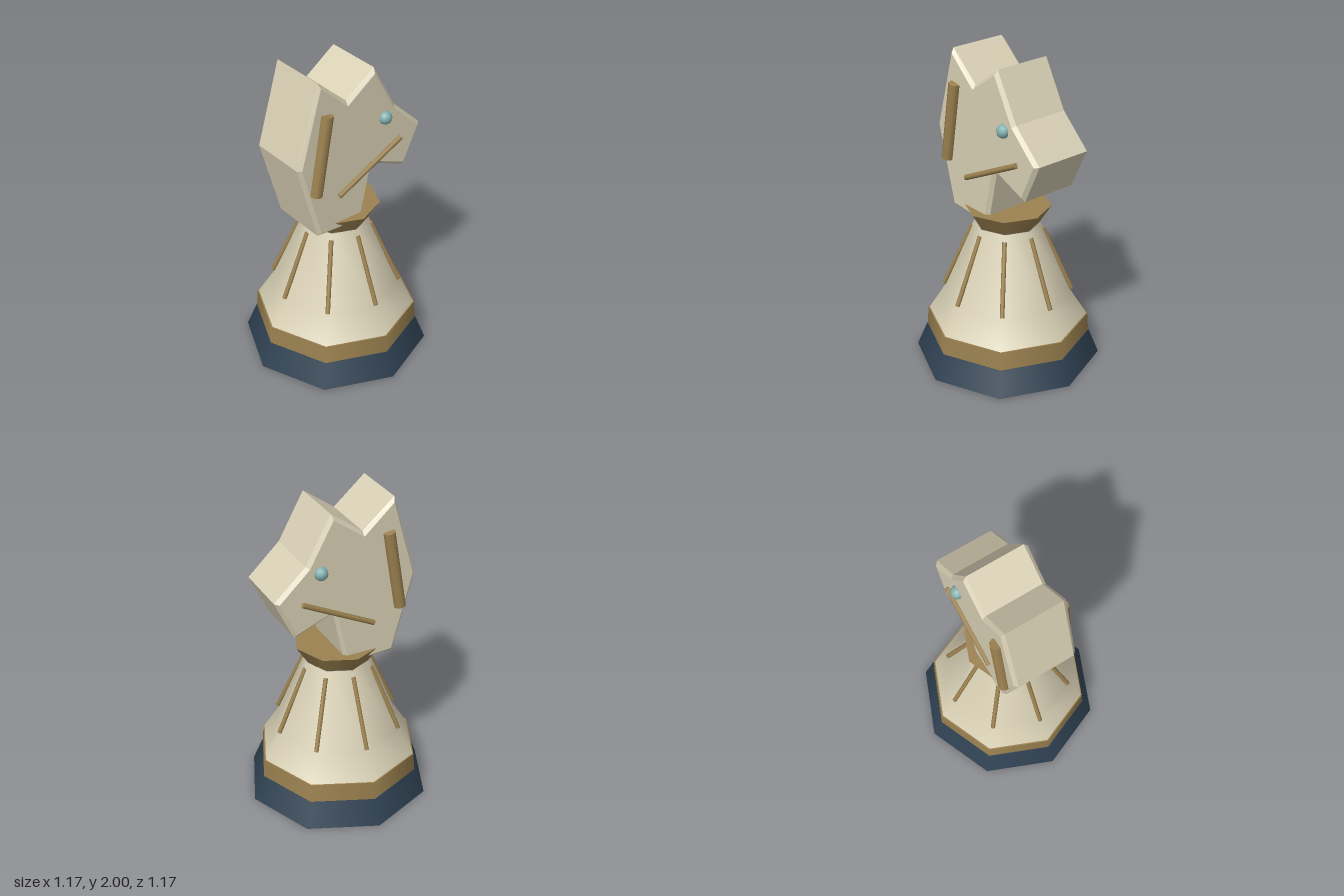
import * as THREE from 'three';

const mat = (name, color) => Object.assign(new THREE.MeshStandardMaterial({ color }), { name });

export function createModel() {
  const cream = mat('cream', 0xd8d0b5);
  const gold = mat('gold', 0x9c8250);
  const navy = mat('navy', 0x2f4152);
  const teal = mat('teal', 0x84b0b0);

  const group = new THREE.Group();
  const add = (name, geometry, material) => {
    const mesh = new THREE.Mesh(geometry, material);
    mesh.name = name;
    group.add(mesh);
    return mesh;
  };

  // Octagonal tapered ring standing between two heights
  const tier = (name, rBottom, rTop, y0, y1, material) => {
    add(name, new THREE.CylinderGeometry(rTop, rBottom, y1 - y0, 8), material).position.y = (y0 + y1) / 2;
  };

  // Round bar between two points
  const bar = (name, a, b, radius, sides) => {
    const dir = b.clone().sub(a);
    const mesh = add(name, new THREE.CylinderGeometry(radius, radius, dir.length(), sides), gold);
    mesh.position.copy(a).add(b).multiplyScalar(0.5);
    mesh.quaternion.setFromUnitVectors(new THREE.Vector3(0, 1, 0), dir.normalize());
  };

  // Pedestal
  tier('base', 0.585, 0.52, 0, 0.16, navy);
  tier('baseBand', 0.517, 0.508, 0.16, 0.28, gold);
  const profile = [[0.5, 0.28], [0.395, 0.45], [0.205, 0.92]].map(([r, y]) => new THREE.Vector2(r, y));
  add('body', new THREE.LatheGeometry(profile, 8), cream);
  tier('collar', 0.2, 0.272, 0.92, 1.035, gold);

  // Ribs running down the corners of the body
  for (let i = 0; i < 8; i++) {
    const at = (r, y) => new THREE.Vector3(r * Math.sin(i * Math.PI / 4), y, r * Math.cos(i * Math.PI / 4));
    bar('rib', at(0.402, 0.46), at(0.218, 0.88), 0.014, 8);
  }

  // Horse head: chamfered slab
  const outline = [
    [-0.28, 0.985], [0.04, 0.965], [0.12, 1.34], [0.37, 1.235], [0.49, 1.49],
    [0.29, 1.68], [0.13, 1.97], [-0.07, 1.825], [-0.27, 2.0], [-0.42, 1.49],
  ].map(([x, y]) => new THREE.Vector2(x, y));
  const chamfer = 0.022;
  const head = new THREE.ExtrudeGeometry(new THREE.Shape(outline), {
    depth: 0.364, bevelEnabled: true, bevelSegments: 1,
    bevelSize: chamfer, bevelThickness: chamfer, bevelOffset: -chamfer,
  });
  head.translate(0, 0, -0.182);
  add('head', head, cream);

  // Details mirrored on both faces of the head
  for (const s of [1, -1]) {
    const p = (x, y, z) => new THREE.Vector3(x, y, s * z);
    bar('mane', p(-0.31, 1.297, 0.213), p(-0.226, 1.797, 0.213), 0.038, 8);
    bar('bridle', p(-0.137, 1.223, 0.211), p(0.325, 1.455, 0.211), 0.017, 8);
    add('eye', new THREE.SphereGeometry(0.042, 10, 8), teal).position.copy(p(0.205, 1.628, 0.206));
  }
  return group;
}
